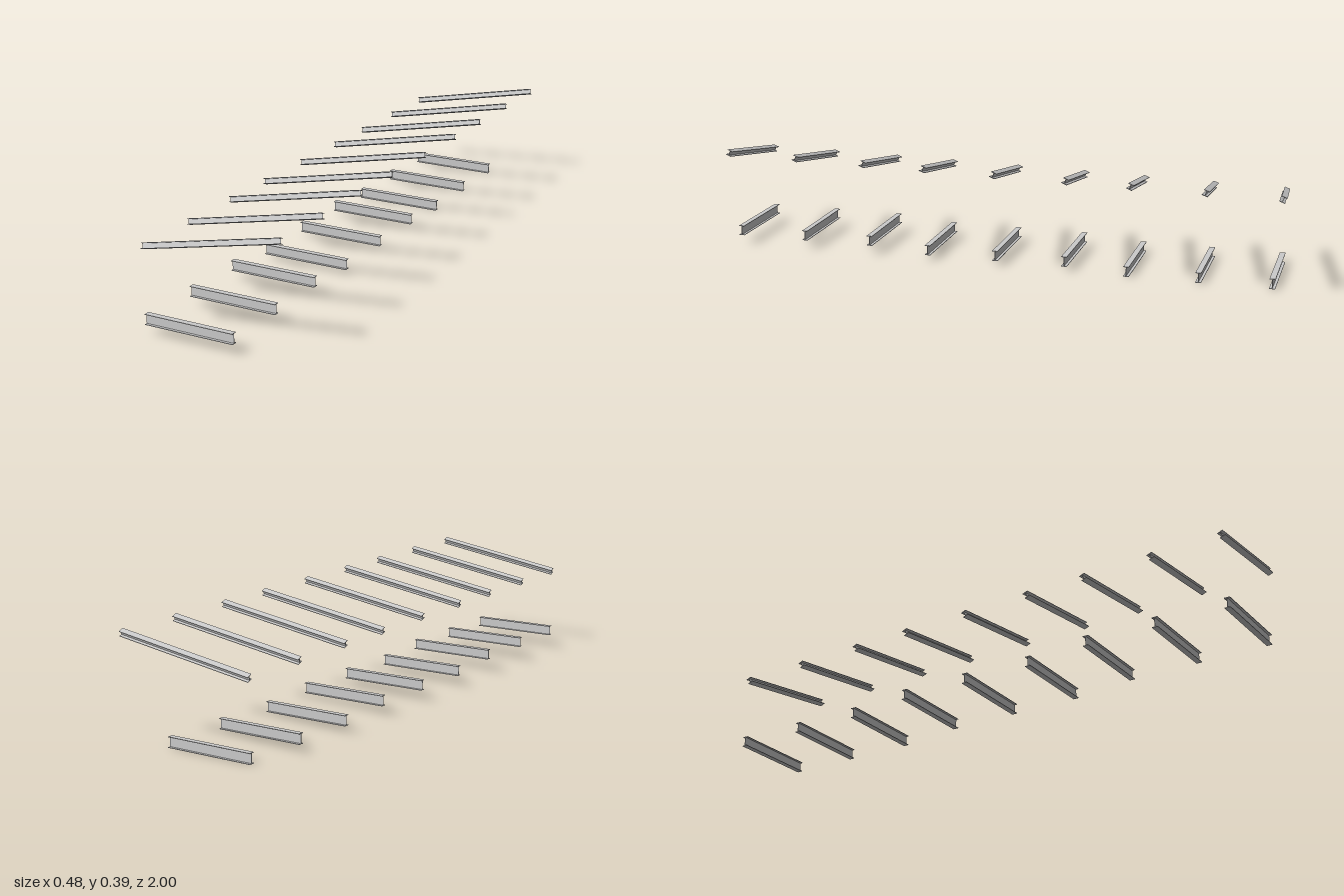
import * as THREE from 'three';

const material = new THREE.MeshStandardMaterial({ color: 0xcccccc, flatShading: true });

// I-section beam centred on the origin, running along x
function beamGeometry(length, height, width, flange, web) {
  const w = width / 2, h = height / 2, t = web / 2, f = h - flange;
  const shape = new THREE.Shape([
    [-w, -h], [w, -h], [w, -f], [t, -f], [t, f], [w, f],
    [w, h], [-w, h], [-w, f], [-t, f], [-t, -f], [-w, -f],
  ].map(([x, y]) => new THREE.Vector2(x, y)));
  const geometry = new THREE.ExtrudeGeometry(shape, { depth: length, bevelEnabled: false });
  geometry.translate(0, 0, -length / 2);
  geometry.rotateY(Math.PI / 2);
  return geometry;
}

export function createModel() {
  const model = new THREE.Group();
  const lowerGeometry = beamGeometry(0.319, 0.036, 0.02, 0.002, 0.0015);
  const upperGeometry = beamGeometry(0.48, 0.0195, 0.02, 0.002, 0.0015);
  const deg = Math.PI / 180;

  // Three bays of three beam pairs; each bay steps down towards the back
  for (let bay = 0; bay < 3; bay++) {
    for (let i = 0; i < 3; i++) {
      const z = 0.99 - bay * 0.72 - i * 0.25;

      // Level floor beam
      const lower = new THREE.Mesh(lowerGeometry, material);
      lower.name = 'floorBeam';
      lower.position.set(-0.0755, 0.053 - bay * 0.0175, z);
      model.add(lower);

      // Sloping roof beam, leaning back and following the fall of the roof
      const fall = (0.99 - z) / 1.94;
      const upper = new THREE.Mesh(upperGeometry, material);
      upper.name = 'roofBeam';
      upper.position.set(-0.003 + 0.005 * fall, 0.337 - 0.0285 * fall, z - 0.02);
      upper.rotation.set(-22 * deg, 0, 11.4 * deg);
      model.add(upper);
    }
  }
  return model;
}
